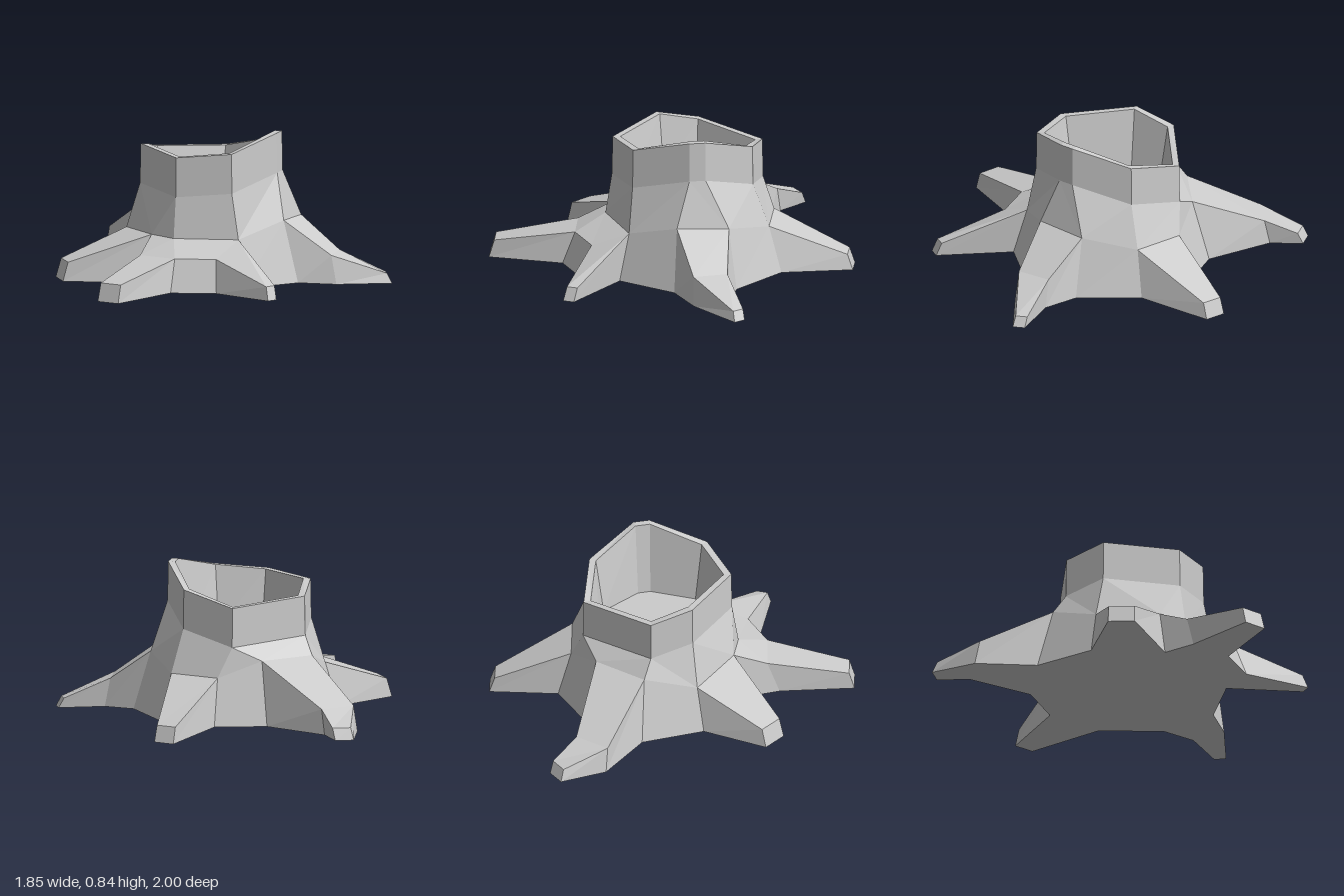
import * as THREE from 'three';

const CENTRE = [-0.09, -0.1];
const GROUND = 0.03;

// Flat-shaded mesh from a list of triangles, each of three [x, y, z] points
function facetMesh(name, tris) {
  const geo = new THREE.BufferGeometry();
  geo.setAttribute('position', new THREE.Float32BufferAttribute(tris.flat(2), 3));
  geo.computeVertexNormals();
  const mesh = new THREE.Mesh(geo, new THREE.MeshStandardMaterial({ color: 0xcccccc, flatShading: true }));
  mesh.name = name;
  return mesh;
}

const quad = (a, b, c, d) => [[a, b, c], [a, c, d]];

// Point moved towards or away from the stump's axis by factor k, at height y
const spread = ([x, , z], k, y) => [
  CENTRE[0] + (x - CENTRE[0]) * k, y, CENTRE[1] + (z - CENTRE[1]) * k];

// Closed strip between two loops with the same number of points
const band = (upper, lower) => upper.flatMap((p, i) => {
  const j = (i + 1) % upper.length;
  return quad(p, upper[j], lower[j], lower[i]);
});

// Angles of a loop's points around the axis, always increasing
function loopAngles(loop) {
  const out = [];
  for (let i = 0; i <= loop.length; i++) {
    const p = loop[i % loop.length];
    let a = Math.atan2(p[2] - CENTRE[1], p[0] - CENTRE[0]);
    while (i && a <= out[i - 1]) a += Math.PI * 2;
    out.push(a);
  }
  return out;
}

// Closed strip between two loops with different numbers of points, matched by angle
function stitch(upper, lower) {
  const ua = loopAngles(upper), la = loopAngles(lower), tris = [];
  const at = (loop, i) => loop[i % loop.length];
  let i = 0, j = 0;
  while (i < upper.length || j < lower.length) {
    if (j === lower.length || (i < upper.length && ua[i + 1] <= la[j + 1])) {
      tris.push([at(upper, i), at(upper, i + 1), at(lower, j)]);
      i++;
    } else {
      tris.push([at(upper, i), at(lower, j + 1), at(lower, j)]);
      j++;
    }
  }
  return tris;
}

// Root sections, each [top a, top b, ground b, ground a]: the first flares out of
// the trunk, the others are ribs with their top edge pulled back from the ground edge
function root(name, a, b, ...ribs) {
  const flare = (p) => spread(p, 1 + 0.6 * (p[1] - GROUND), GROUND);
  const pullBack = (p, y) => {
    const reach = Math.hypot(p[0] - CENTRE[0], p[2] - CENTRE[1]);
    return spread(p, 1 - 0.03 / reach, y);
  };
  const sections = [[a, b, flare(b), flare(a)]];
  for (const [ax, az, bx, bz, y, low] of ribs) {
    const ga = [ax, low, az], gb = [bx, low, bz];
    sections.push([pullBack(ga, y), pullBack(gb, y), gb, ga]);
  }
  return { name, sections };
}

// Top, two sides and end cap of a root
function rootFaces(sections) {
  const tris = quad(...sections.at(-1));
  for (let i = 0; i + 1 < sections.length; i++) {
    const [a, b, gb, ga] = sections[i];
    const [A, B, GB, GA] = sections[i + 1];
    tris.push(...quad(a, b, B, A), ...quad(a, A, GA, ga), ...quad(B, b, gb, GB));
  }
  return tris;
}

export function createModel() {
  const group = new THREE.Group();
  group.name = 'treeStump';

  // Roots in order around the stump; ribs are [ax, az, bx, bz, top y, ground y]
  const roots = [
    root('leftRoot', [0.37, 0.355, -0.25], [0.37, 0.37, 0.04],
      [0.64, -0.21, 0.66, -0.01, 0.18, 0.02], [0.89, -0.26, 0.92, -0.2, 0.065, 0.01]),
    root('frontLeftRoot', [0.19, 0.29, 0.28], [0.13, 0.21, 0.48],
      [0.54, 0.64, 0.51, 0.695, 0.11, 0.035]),
    root('frontRoot', [-0.09, 0.21, 0.54], [-0.31, 0.21, 0.49],
      [-0.26, 0.995, -0.39, 0.965, 0.125, 0.025]),
    root('frontRightRoot', [-0.31, 0.295, 0.3], [-0.55, 0.28, 0.04],
      [-0.765, 0.48, -0.85, 0.36, 0.14, 0.035]),
    root('backRightRoot', [-0.55, 0.38, -0.26], [-0.32, 0.38, -0.48],
      [-0.88, -0.55, -0.73, -0.7, 0.17, 0.03], [-0.925, -0.815, -0.83, -0.855, 0.1, 0.035]),
    root('backRoot', [-0.09, 0.29, -0.57], [0.19, 0.29, -0.5],
      [0.055, -1, 0.17, -0.97, 0.09, 0]),
  ];

  // Trunk loops: slanted rim, neck below it, shoulder where the roots begin
  const rim = [[0.3, 0.84, -0.13], [0.3, 0.84, -0.04], [0.14, 0.76, 0.25], [-0.16, 0.735, 0.32],
    [-0.47, 0.75, 0.03], [-0.495, 0.7, -0.21], [-0.16, 0.675, -0.515], [0.14, 0.745, -0.415]];
  const neck = rim.map((p) => spread(p, 1.01, p[1] - 0.22));
  const frontCrease = [-0.16, 0.29, 0.36];
  const tops = roots.map((r) => r.sections[0].slice(0, 2));
  const shoulder = [...tops[0], tops[1][0], frontCrease, ...tops.slice(3).flat()];
  group.add(facetMesh('trunk', [...band(rim, neck), ...stitch(neck, shoulder)]));

  // Hollow: rim thickness, tapering wall and floor
  const lip = rim.map((p) => spread(p, 0.9, p[1]));
  const floor = rim.map((p) => spread(p, 0.78, 0.42));
  const middle = [CENTRE[0], 0.42, CENTRE[1]];
  group.add(facetMesh('rim', band(lip, rim)));
  group.add(facetMesh('hollow', [
    ...band(floor, lip),
    ...floor.map((p, i) => [middle, floor[(i + 1) % floor.length], p]),
  ]));

  // Sloping apron above the two front roots
  const apron = [...tops[1], ...tops[2], tops[3][0]];
  group.add(facetMesh('frontApron', apron.slice(1).map((p, i) => [frontCrease, p, apron[i]])));

  // Roots, the trunk wall between each and the next, and the ground outline
  const outline = [], walls = [];
  roots.forEach(({ name, sections }, n) => {
    group.add(facetMesh(name, rootFaces(sections)));
    const next = roots[(n + 1) % roots.length].sections[0];
    walls.push(...quad(sections[0][1], next[0], next[3], sections[0][2]));
    outline.push(...sections.map((s) => s[3]), ...sections.map((s) => s[2]).reverse());
  });
  group.add(facetMesh('wallsBetweenRoots', walls));

  // Underside
  const flat = outline.map((p) => new THREE.Vector2(p[0], p[2]));
  const faces = THREE.ShapeUtils.triangulateShape(flat, []);
  group.add(facetMesh('underside', faces.map((f) => f.map((i) => outline[i]))));

  return group;
}
